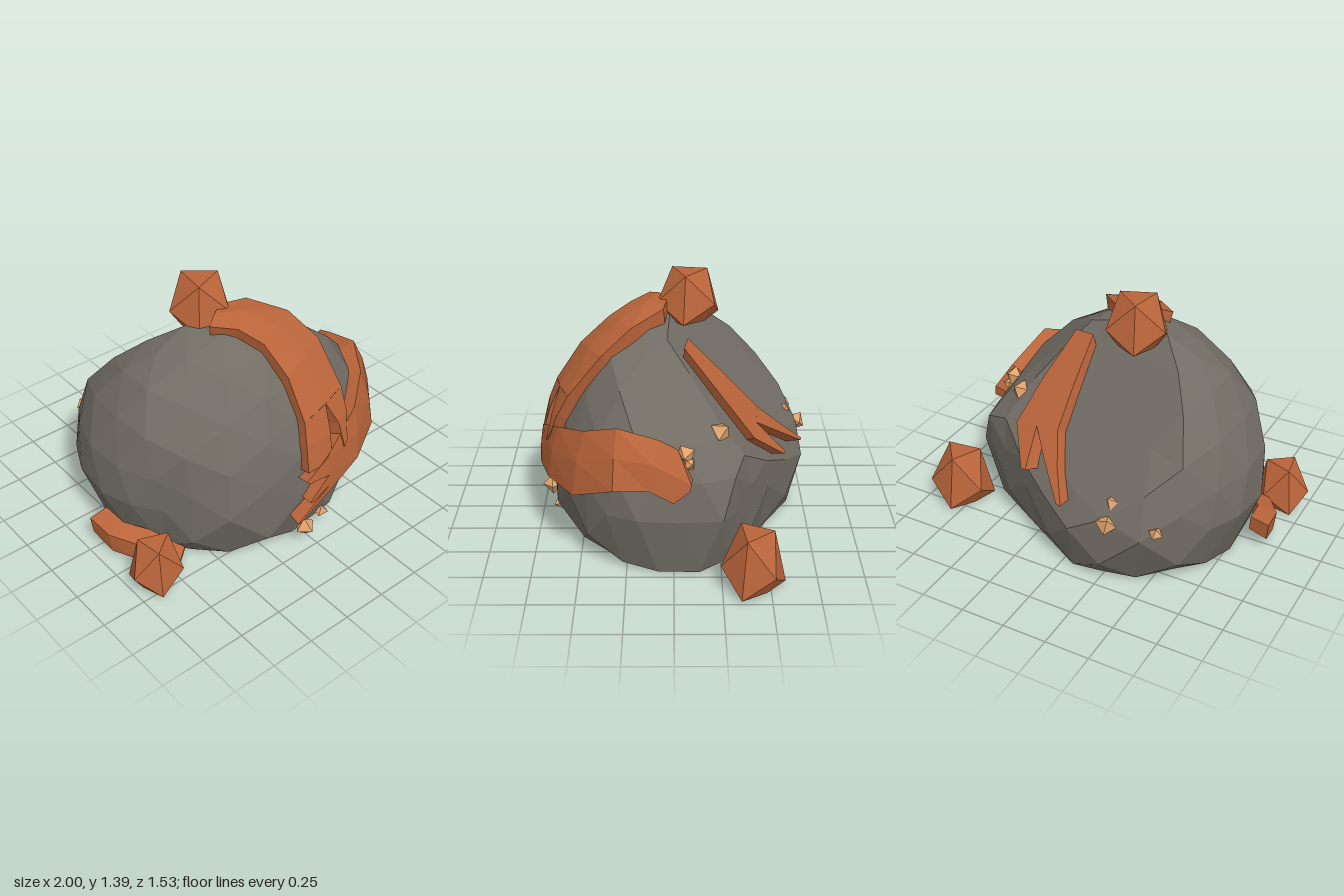
import * as THREE from 'three';

const rockMat = new THREE.MeshStandardMaterial({ color: 0x716c64, flatShading: true });
const copperMat = new THREE.MeshStandardMaterial({ color: 0xb9643a, flatShading: true });
const crystalMat = new THREE.MeshStandardMaterial({ color: 0xdfa36c, flatShading: true });
rockMat.name = 'grey stone';
copperMat.name = 'copper ore';
crystalMat.name = 'pale crystal';

const V = (x, y, z) => new THREE.Vector3(x, y, z);

// Boulder body: an ellipsoid with different halves, cut by flat planes
const centre = V(-0.05, 0.36, -0.02);
const radii = (d) => V(d.x < 0 ? 0.84 : 0.87, d.y < 0 ? 1.3 : 0.87, d.z < 0 ? 0.8 : 0.71);
const cuts = [
  [V(0.17, 0.67, -0.74), 0.765], // sloping back
  [V(0.49, 0, -0.87), 0.605], // right rear wall
  [V(0.65, 0.72, -0.2), 0.94], // upper right shoulder
  [V(0.98, 0.17, 0), 0.8], // right side
  [V(-0.815, 0, 0.58), 0.765], // left front wall
  [V(0, 0, -1), 0.735], // rear
  [V(0, -1, 0), -0.02], // base
].map(([n, d]) => ({ n: n.normalize(), d }));

// Point on the boulder in the direction of p, raised by lift
function onRock(p, lift) {
  const dir = p.clone().sub(centre).normalize();
  let t = 1 / dir.clone().divide(radii(dir)).length();
  for (const { n, d } of cuts) {
    const s = n.dot(dir);
    if (s > 0) t = Math.min(t, (d - n.dot(centre)) / s);
  }
  return dir.multiplyScalar(t + lift).add(centre);
}

function rockGeometry() {
  const g = new THREE.IcosahedronGeometry(1, 3);
  const pos = g.attributes.position;
  const p = V(0, 0, 0);
  for (let i = 0; i < pos.count; i++) {
    p.fromBufferAttribute(pos, i);
    const bump = 1 + 0.012 * Math.sin(p.x * 9 + p.y * 7) * Math.cos(p.z * 8 - p.y * 5);
    p.multiply(radii(p)).multiplyScalar(bump).add(centre);
    for (let pass = 0; pass < 5; pass++) {
      for (const { n, d } of cuts) {
        const over = n.dot(p) - d;
        if (over > 0) p.addScaledVector(n, -over);
      }
    }
    // Bevel round the foot
    const bevel = 1 - 0.8 * Math.max(0, 0.15 - p.y);
    pos.setXYZ(i, p.x * bevel, p.y, p.z * bevel);
  }
  g.computeVertexNormals();
  return g;
}

// Raised strip over the rock; each row holds its two edge points
function strip(rows, lift) {
  const pts = [];
  for (const r of rows) {
    const a = V(r[0], r[1], r[2]), b = V(r[3], r[4], r[5]);
    const mid = a.clone().lerp(b, 0.5);
    pts.push(onRock(a, lift), onRock(mid, lift), onRock(b, lift), onRock(b, -0.04), onRock(a, -0.04));
  }
  const idx = [];
  for (let i = 0; i < rows.length - 1; i++) {
    for (let j = 0; j < 5; j++) {
      const a = i * 5 + j, b = i * 5 + (j + 1) % 5;
      idx.push(a, b, b + 5, a, b + 5, a + 5);
    }
  }
  const e = (rows.length - 1) * 5;
  for (let j = 1; j < 4; j++) idx.push(0, j + 1, j, e, e + j, e + j + 1);
  // Turn the faces outward
  const n = pts[1].clone().sub(pts[0]).cross(pts[6].clone().sub(pts[0]));
  if (n.dot(pts[0].clone().sub(centre)) < 0) idx.reverse();
  const g = new THREE.BufferGeometry().setFromPoints(pts);
  g.setIndex(idx);
  const flat = g.toNonIndexed();
  flat.computeVertexNormals();
  return flat;
}

function vein(name, lift, strips) {
  const group = new THREE.Group();
  group.name = name;
  strips.forEach((rows, i) => {
    const m = new THREE.Mesh(strip(rows, lift), copperMat);
    m.name = i ? 'veinTine' : 'veinBody';
    group.add(m);
  });
  return group;
}

// Faceted lump standing on one face, with a flat top and a wide flat underside
function nugget(name, at, size, floor, turn) {
  const g = new THREE.IcosahedronGeometry(1, 0);
  g.applyQuaternion(new THREE.Quaternion().setFromUnitVectors(V(-1, 1, 1).normalize(), V(0, 1, 0)));
  g.rotateY(turn).scale(...size).translate(...at);
  const pos = g.attributes.position;
  for (let i = 0; i < pos.count; i++) pos.setY(i, Math.max(floor, pos.getY(i)));
  g.computeVertexNormals();
  const m = new THREE.Mesh(g, copperMat);
  m.name = name;
  return m;
}

export function createModel() {
  const model = new THREE.Group();
  model.name = 'oreBoulder';

  const rock = new THREE.Mesh(rockGeometry(), rockMat);
  rock.name = 'boulder';
  model.add(rock);

  // Vein from the summit down the front
  model.add(vein('frontVein', 0.06, [
    [
      [-0.25, 1.22, 0.13, -0.1, 1.24, 0.03],
      [-0.14, 1.19, 0.22, 0.05, 1.2, 0.05],
      [-0.07, 1.12, 0.33, 0.18, 1.12, 0.2],
      [-0.04, 0.97, 0.46, 0.25, 1.0, 0.34],
      [-0.04, 0.76, 0.56, 0.26, 0.8, 0.5],
    ],
    [
      [-0.04, 0.76, 0.56, 0.11, 0.78, 0.53],
      [-0.06, 0.65, 0.6, 0.1, 0.66, 0.6],
      [-0.07, 0.53, 0.64, 0.09, 0.53, 0.64],
    ],
    [
      [0.11, 0.78, 0.53, 0.26, 0.8, 0.5],
      [0.17, 0.67, 0.58, 0.25, 0.7, 0.55],
      [0.19, 0.54, 0.62, 0.22, 0.56, 0.61],
    ],
  ]));

  // Vein wrapping the front and the side
  model.add(vein('sideVein', 0.065, [
    [
      [0.05, 0.56, 0.66, 0.07, 0.36, 0.68],
      [0.33, 0.68, 0.56, 0.3, 0.4, 0.6],
      [0.5, 0.74, 0.42, 0.52, 0.42, 0.46],
      [0.64, 0.83, 0.28, 0.67, 0.52, 0.27],
      [0.7, 0.8, 0.08, 0.75, 0.54, 0.12],
      [0.71, 0.75, -0.02, 0.76, 0.48, 0],
      [0.73, 0.6, -0.09, 0.74, 0.54, -0.08],
    ],
    [[0.05, 0.56, 0.66, 0.06, 0.46, 0.67], [-0.09, 0.5, 0.7, -0.07, 0.48, 0.7]],
    [[0.06, 0.46, 0.67, 0.066, 0.4, 0.676], [-0.07, 0.36, 0.7, -0.05, 0.35, 0.7]],
    [[0.066, 0.4, 0.676, 0.07, 0.36, 0.68], [-0.14, 0.25, 0.7, -0.12, 0.25, 0.7]],
  ]));

  // Forked vein on the back slope
  model.add(vein('backVein', 0.065, [
    [
      [0.1, 1.03, -0.07, 0.2, 1.01, -0.05],
      [0.11, 0.85, -0.26, 0.29, 0.82, -0.22],
      [0.12, 0.7, -0.44, 0.39, 0.65, -0.41],
    ],
    [[0.255, 0.675, -0.425, 0.39, 0.65, -0.41], [0.24, 0.5, -0.59, 0.27, 0.5, -0.58]],
    [
      [0.12, 0.7, -0.44, 0.255, 0.675, -0.425],
      [0.05, 0.57, -0.57, 0.14, 0.57, -0.55],
      [-0.04, 0.44, -0.7, -0.01, 0.44, -0.69],
    ],
  ]));

  // Short vein low on the other side
  model.add(vein('lowVein', 0.07, [[
    [-0.9, 0.2, -0.05, -0.9, 0.1, -0.04],
    [-0.89, 0.18, 0.1, -0.88, 0.06, 0.1],
    [-0.82, 0.15, 0.24, -0.82, 0.04, 0.24],
    [-0.7, 0.06, 0.42, -0.7, 0.04, 0.42],
  ]]));

  model.add(nugget('topNugget', [-0.15, 1.2, -0.08], [0.185, 0.26, 0.185], 1.14, 0.5));
  model.add(nugget('rightNugget', [0.82, 0.09, -0.41], [0.19, 0.31, 0.175], 0.03, 0.25));
  model.add(nugget('leftNugget', [-0.85, 0.08, 0.41], [0.16, 0.27, 0.15], 0.03, 0.8));

  // Small crystals dotted over the surface
  const spots = [
    [-0.05, 0.14, 0.7, 0.06], [0.12, 0.12, 0.64, 0.045],
    [0.66, 0.7, -0.06, 0.055], [0.68, 0.65, -0.08, 0.035],
    [0.49, 0.74, -0.24, 0.063], [-0.31, 0.42, -0.72, 0.06],
    [-0.31, 0.5, -0.64, 0.05], [-0.57, 0.42, -0.67, 0.04],
  ];
  spots.forEach(([x, y, z, r], i) => {
    const c = new THREE.Mesh(new THREE.OctahedronGeometry(r, 0), crystalMat);
    c.name = 'crystal';
    c.position.set(x, y, z);
    c.rotation.set(0.2 * i, 0.7 * i, 0.15);
    model.add(c);
  });

  return model;
}
